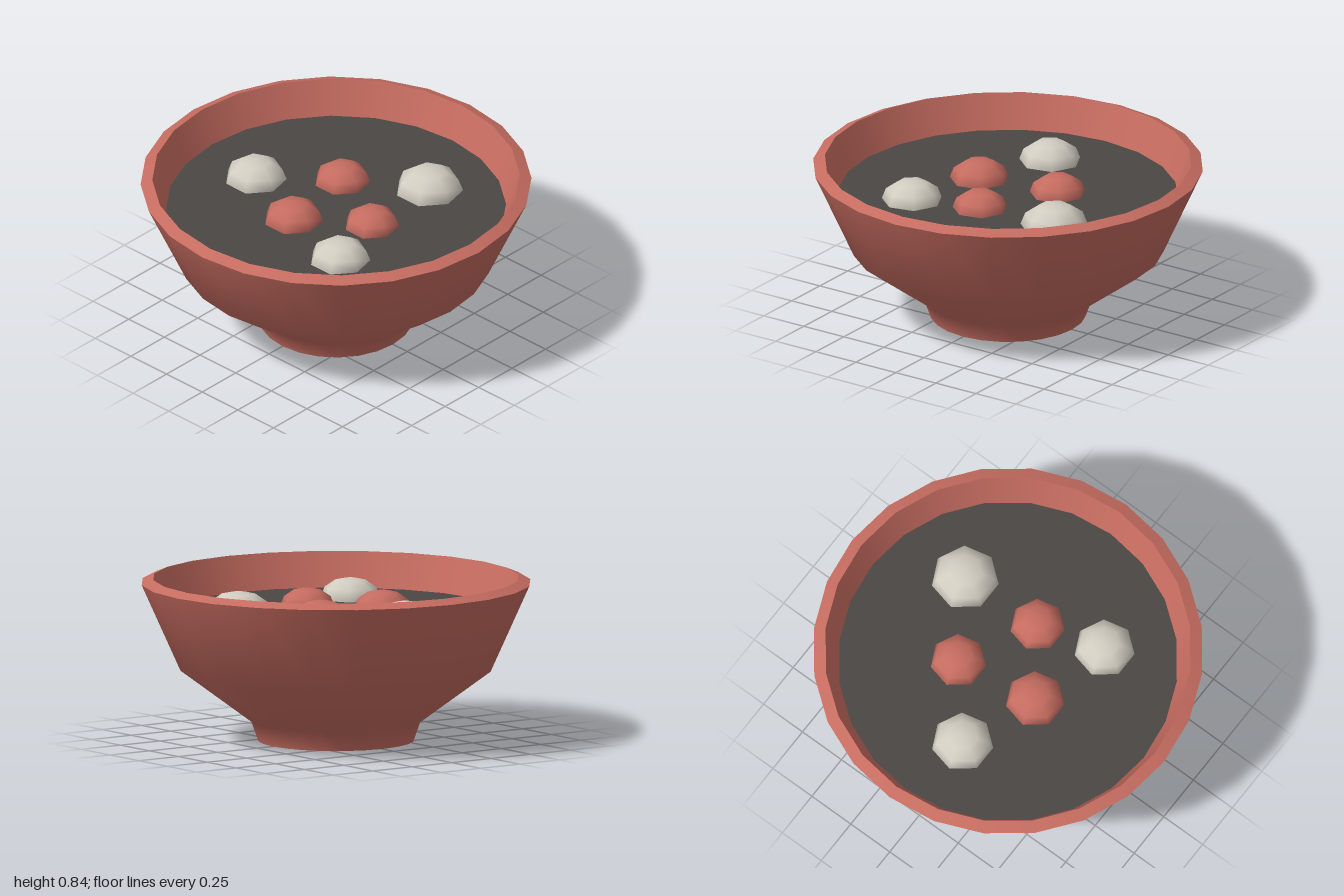
import * as THREE from 'three';

export function createModel() {
  const model = new THREE.Group();
  const material = (name, color) => {
    const m = new THREE.MeshStandardMaterial({ color });
    m.name = name;
    return m;
  };
  const clay = material('terracotta', 0xc66c60);
  const broth = material('dark charcoal', 0x4a4745);
  const cream = material('cream', 0xd2cdc1);

  const SIDES = 24, SURFACE = 0.66;

  const add = (name, geometry, mat, parent = model) => {
    const mesh = new THREE.Mesh(geometry, mat);
    mesh.name = name;
    parent.add(mesh);
    return mesh;
  };
  const lathe = (points) =>
    new THREE.LatheGeometry(points.map(([x, y]) => new THREE.Vector2(x, y)), SIDES);

  // Bowl: separate lathes keep the edges at the foot and rim sharp
  const bowl = new THREE.Group();
  bowl.name = 'bowl';
  model.add(bowl);
  add('bowlBase', lathe([[0, 0], [0.4, 0]]), clay, bowl);
  add('bowlBody', lathe([[0.4, 0], [0.435, 0.1], [0.8, 0.37], [1, 0.815]]), clay, bowl);
  add('bowlRim', lathe([[1, 0.815], [0.94, 0.84]]), clay, bowl);
  add('bowlInside', lathe([[0.94, 0.84], [0.87, SURFACE]]), clay, bowl);

  // Flat filling
  add('filling', lathe([[0.872, SURFACE], [0, SURFACE]]), broth);

  // Half-sunk, slightly flattened balls: x, z, radius
  const addBalls = (name, mat, list) => list.forEach(([x, z, r]) => {
    const ball = add(name, new THREE.SphereGeometry(r, 7, 6), mat);
    ball.position.set(x, SURFACE, z);
    ball.scale.y = 0.7;
    ball.rotation.y = -Math.PI / 2;
  });
  addBalls('creamBall', cream, [[0.23, -0.45, 0.175], [-0.49, 0.08, 0.16], [0.355, 0.35, 0.157]]);
  addBalls('redBall', clay, [[-0.15, -0.205, 0.145], [0.25, 0, 0.142], [-0.08, 0.235, 0.153]]);

  return model;
}
